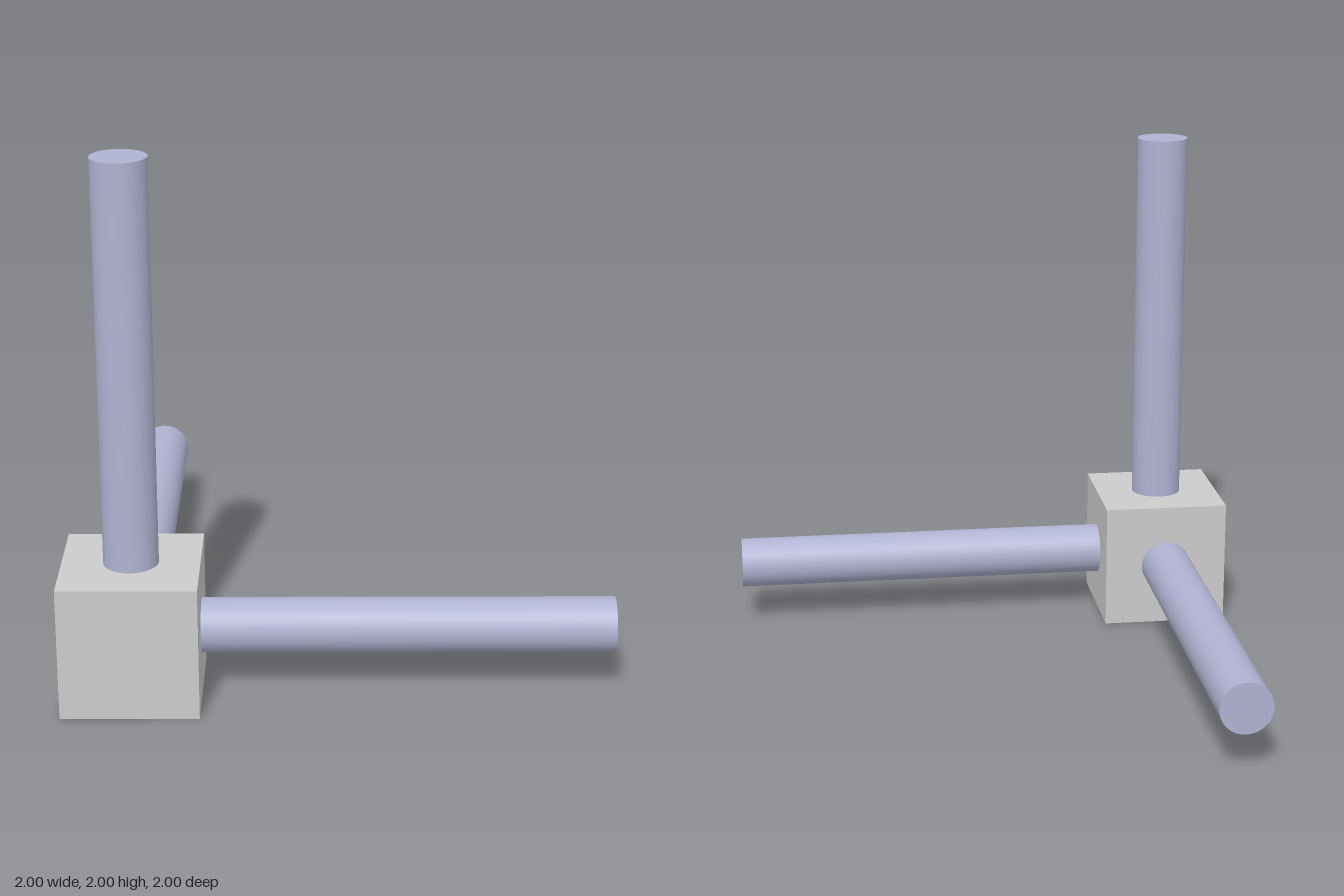
import * as THREE from 'three';

export function createModel() {
  const model = new THREE.Group();
  model.name = 'cornerConnector';

  const cubeSize = 0.5, rodRadius = 0.1, rodLength = 1.5;
  const cubeMaterial = new THREE.MeshStandardMaterial({ color: 0xcccccc });
  const rodMaterial = new THREE.MeshStandardMaterial({ color: 0xb0b3d2 });

  // Corner block joining the three rods
  const cube = new THREE.Mesh(new THREE.BoxGeometry(cubeSize, cubeSize, cubeSize), cubeMaterial);
  cube.name = 'cornerBlock';
  cube.position.set(-0.75, 0.25, 0.75);
  model.add(cube);

  // One rod standing on each of three neighbouring block faces
  const rodGeometry = new THREE.CylinderGeometry(rodRadius, rodRadius, rodLength, 48);
  const up = new THREE.Vector3(0, 1, 0);
  const addRod = (name, direction) => {
    const rod = new THREE.Mesh(rodGeometry, rodMaterial);
    rod.name = name;
    rod.quaternion.setFromUnitVectors(up, direction);
    rod.position.copy(cube.position).addScaledVector(direction, (cubeSize + rodLength) / 2);
    model.add(rod);
  };
  addRod('sideRod', new THREE.Vector3(1, 0, 0));
  addRod('uprightRod', up);
  addRod('backRod', new THREE.Vector3(0, 0, -1));

  return model;
}
